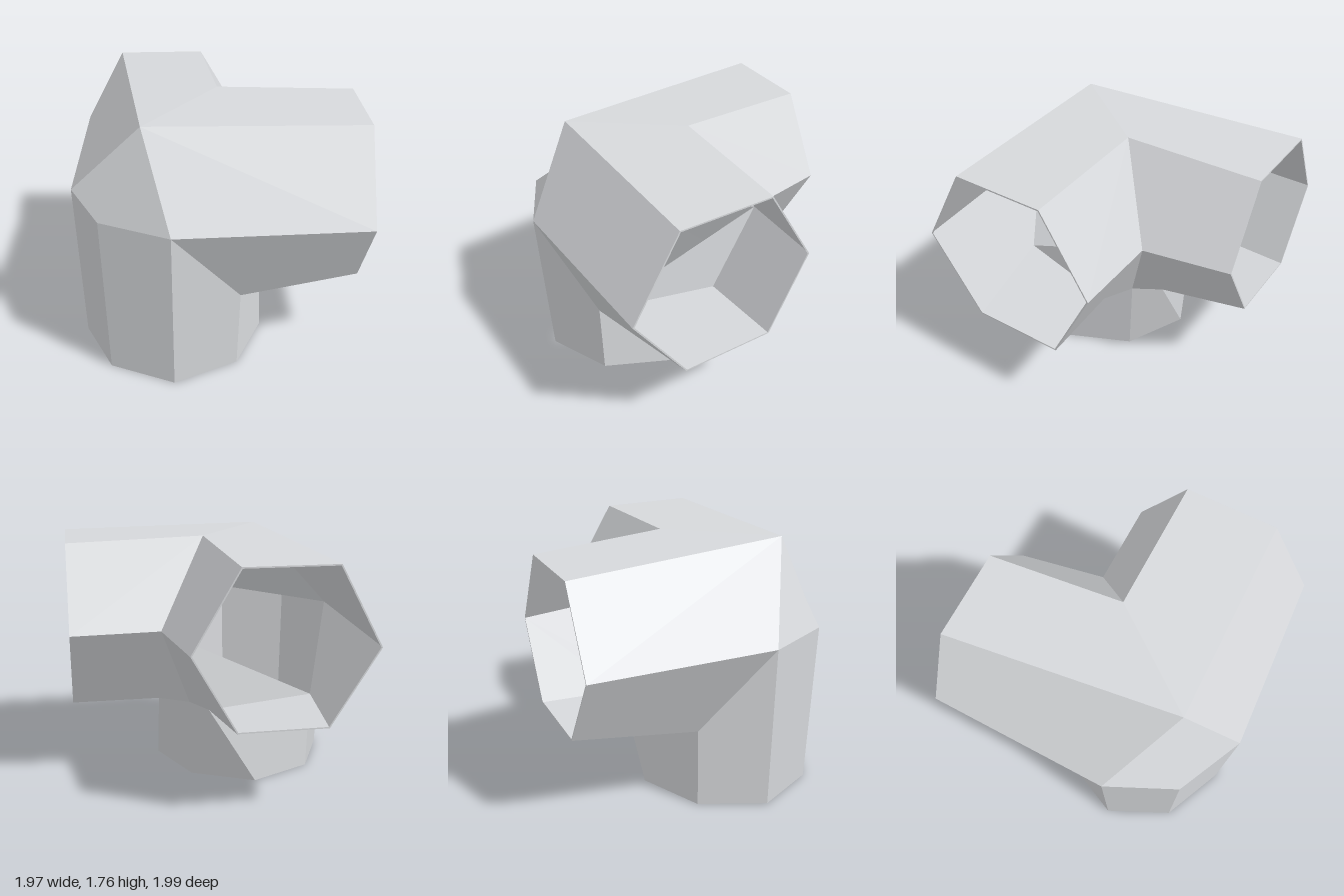
import * as THREE from 'three';

// Junction corners shared by the three tubes
const peak = [-0.48, 1.757, 0.62], frontMid = [-0.305, 1.17, 0.997], sideMid = [-0.985, 1.17, 0.3];
const outer = [-0.77, 1.17, 0.77], crotchTop = [0.03, 1.765, -0.05], crotchMid = [0.37, 1.18, -0.39];
const crotchLow = [0.15, 0.58, -0.17];
const bendX = [0.36, 0.585, -0.065], bendZ = [0.04, 0.585, -0.365];
const cornerX = [0.15, 0.58, 0.76], cornerZ = [-0.76, 0.58, -0.15];

// Open ends: two hexagons and an octagon
const endX = [[0.61, 1.735], [0.935, 1.155], [0.56, 0.597], [-0.1, 0.6], [-0.385, 1.17], [-0.045, 1.735]]
  .map(([z, y]) => [0.98, y, z]);
const endZ = [[-0.67, 1.72], [-0.962, 1.18], [-0.64, 0.655], [-0.035, 0.655], [0.262, 1.18], [-0.05, 1.72]]
  .map(([x, y]) => [x, y, -0.99]);
const endY = Array.from({ length: 8 }, (_, i) => {
  const a = i * Math.PI / 4, r = i % 2 ? 0.622 : 0.643;
  return [-0.308 + r * Math.sin(a), 0, 0.302 + r * Math.cos(a)];
});

const vec = p => new THREE.Vector3(...p);

// Polygons with one normal each, turned to face away from the centre (null = along the tube axis)
function shell(name, faces, centre, material) {
  const positions = [], normals = [];
  for (const face of faces) {
    const pts = face.map(vec);
    const mid = pts.reduce((s, p) => s.add(p), new THREE.Vector3()).divideScalar(pts.length);
    const away = vec(mid.toArray().map((v, i) => (centre[i] === null ? 0 : v - centre[i])));
    const normal = new THREE.Vector3();
    pts.forEach((p, i) => normal.add(p.clone().sub(mid).cross(pts[(i + 1) % pts.length].clone().sub(mid))));
    normal.normalize();
    if (normal.dot(away) < 0) {
      normal.negate();
      pts.push(...pts.splice(1).reverse());
    }
    for (let i = 1; i < pts.length - 1; i++) {
      for (const p of [pts[0], pts[i], pts[i + 1]]) {
        positions.push(p.x, p.y, p.z);
        normals.push(normal.x, normal.y, normal.z);
      }
    }
  }
  const geometry = new THREE.BufferGeometry();
  geometry.setAttribute('position', new THREE.Float32BufferAttribute(positions, 3));
  geometry.setAttribute('normal', new THREE.Float32BufferAttribute(normals, 3));
  const mesh = new THREE.Mesh(geometry, material);
  mesh.name = name;
  return mesh;
}

// Side faces of a hexagonal arm, from its end to the junction
function armFaces(e, mid, corner, bend) {
  return [
    [peak, mid, e[1], e[0]],
    [corner, e[2], e[1], mid],
    [e[3], bend, corner, e[2]],
    [e[4], crotchMid, crotchLow, bend, e[3]],
    [crotchTop, crotchMid, e[4], e[5]],
    [peak, crotchTop, e[5], e[0]],
  ];
}

// Thin wall edge around an open end
function rimFaces(end) {
  const c = end.reduce((s, p) => s.add(vec(p)), new THREE.Vector3()).divideScalar(end.length);
  const inner = end.map(p => vec(p).lerp(c, 0.018).toArray());
  return end.map((p, i) => {
    const j = (i + 1) % end.length;
    return [p, end[j], inner[j], inner[i]];
  });
}

export function createModel() {
  const group = new THREE.Group();
  group.name = 'threeWayPipeCorner';
  const grey = new THREE.MeshStandardMaterial({ color: 0xd6d8db, side: THREE.DoubleSide });
  grey.name = 'pipe grey';

  const add = (name, faces, centre) => group.add(shell(name, faces, centre, grey));

  // Two horizontal arms
  add('sideArm', armFaces(endX, frontMid, cornerX, bendX), [null, 1.17, 0.28]);
  add('backArm', armFaces(endZ, sideMid, cornerZ, bendZ), [-0.32, 1.17, null]);

  // Upright leg, octagon below meeting the junction corners above
  const top = [frontMid, cornerX, bendX, crotchLow, bendZ, cornerZ, sideMid, outer];
  add('leg', endY.map((p, i) => [p, endY[(i + 1) % 8], top[(i + 1) % 8], top[i]]), [-0.308, null, 0.302]);

  // Bevel over the outer elbow, folded along the line between the arms' middle corners
  add('elbowBevel', [[sideMid, outer, frontMid, peak]], [-0.3, 1, 0.3]);

  // Webs inside the junction
  add('innerWebs', [[crotchMid, bendX, cornerX], [crotchMid, bendZ, cornerZ]], [0.3, 0.3, -0.3]);

  // Wall edges at the open ends
  add('sideRim', rimFaces(endX), [0, 1.17, 0.28]);
  add('backRim', rimFaces(endZ), [-0.32, 1.17, 0]);
  add('legRim', rimFaces(endY), [-0.308, 1, 0.302]);

  return group;
}
